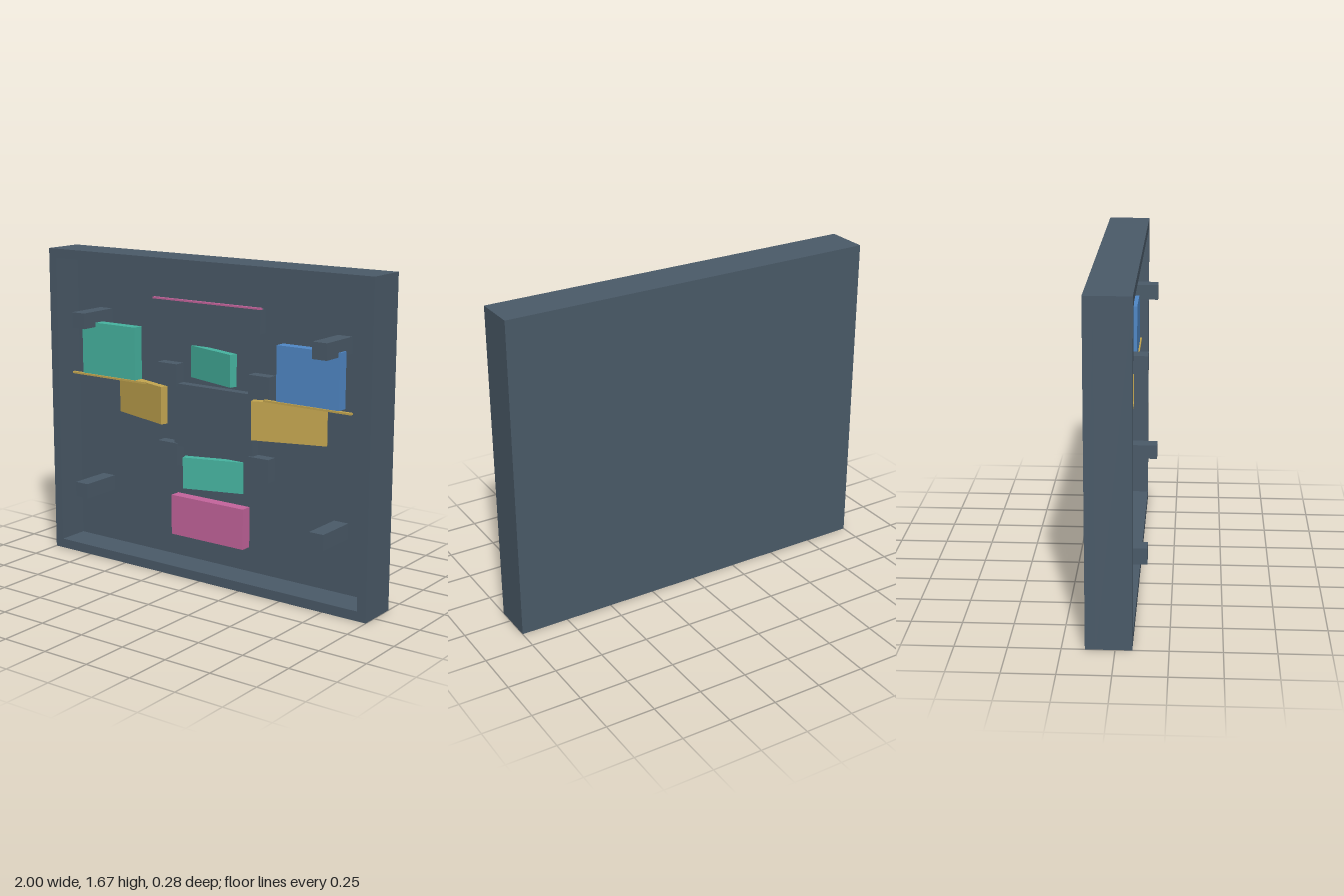
import * as THREE from 'three';

const paint = (name, color) => {
  const m = new THREE.MeshStandardMaterial({ color });
  m.name = name;
  return m;
};

export function createModel() {
  const slate = paint('slate', 0x4a5a68);
  const teal = paint('teal', 0x46b3a0);
  const blue = paint('blue', 0x5088c6);
  const gold = paint('gold', 0xc4a650);
  const pink = paint('pink', 0xc4649c);

  const root = new THREE.Group();
  root.name = 'wallPanel';

  const add = (name, geometry, material) => {
    const mesh = new THREE.Mesh(geometry, material);
    mesh.name = name;
    root.add(mesh);
    return mesh;
  };

  // Box given by its limits on each axis
  const box = (name, material, [x0, x1], [y0, y1], [z0, z1]) => {
    const mesh = add(name, new THREE.BoxGeometry(x1 - x0, y1 - y0, z1 - z0), material);
    mesh.position.set((x0 + x1) / 2, (y0 + y1) / 2, (z0 + z1) / 2);
    return mesh;
  };

  // Thin block turned about the upright axis
  const angled = (name, material, size, position, turn) => {
    const mesh = add(name, new THREE.BoxGeometry(...size), material);
    mesh.position.set(...position);
    mesh.rotation.y = turn;
  };

  // Shallow tray: back plate and raised rim
  const floor = -0.09;
  box('backPlate', slate, [-1, 1], [0, 1.67], [-0.14, floor]);
  const rim = new THREE.Shape([[-1, 0], [1, 0], [1, 1.67], [-1, 1.67]].map(p => new THREE.Vector2(...p)));
  rim.holes.push(new THREE.Path([[-0.95, 0.05], [-0.95, 1.62], [0.95, 1.62], [0.95, 0.05]].map(p => new THREE.Vector2(...p))));
  add('rim', new THREE.ExtrudeGeometry(rim, { depth: 0.17, bevelEnabled: false }), slate).position.z = floor;

  // Centre plate with a block at each corner
  box('centrePlate', slate, [-0.25, 0.25], [0.67, 1.005], [floor, -0.04]);
  for (const s of [-1, 1]) {
    const side = s < 0 ? 'right' : 'left';
    const span = (a, b) => (s < 0 ? [-b, -a] : [a, b]);

    box(side + 'UpperBlock', slate, span(0.227, 0.353), [0.99, 1.108], [floor, -0.03]);
    box(side + 'LowerBlock', slate, span(0.227, 0.353), [0.565, 0.685], [floor, -0.03]);

    // Long corner pegs
    box(side + 'UpperPeg', slate, span(0.708, 0.79), [1.267, 1.35], [floor, 0.14]);
    box(side + 'LowerPeg', slate, span(0.708, 0.79), [0.34, 0.42], [floor, 0.14]);

    // Square blocks standing on gold ledges
    const z = s < 0 ? 0.05 : 0.037;
    box(side + 'SquareBlock', s < 0 ? teal : blue, span(0.44, 0.8), [1.01, 1.29], [z - 0.057, z]);
    box(side + 'Ledge', gold, span(0.37, 0.87), [1, 1.01], [z - 0.01, z + 0.008]);

    // Slanted gold flippers
    angled(side + 'Flipper', gold, [0.393, 0.2, 0.04], [s * 0.467, 0.89, -0.05], s * 0.3);
  }

  // Slanted teal flippers above and below the centre
  angled('upperFlipper', teal, [0.335, 0.167, 0.042], [-0.003, 1.123, -0.05], -0.3);
  angled('lowerFlipper', teal, [0.33, 0.167, 0.042], [-0.001, 0.547, -0.052], 0.3);

  // Bottom block and the top bar with its coloured edge
  box('bottomBlock', pink, [-0.23, 0.23], [0.2, 0.415], [-0.045, 0.014]);
  box('topBar', slate, [-0.335, 0.335], [1.33, 1.45], [-0.02, 0.025]);
  box('topBarEdge', pink, [-0.337, 0.337], [1.45, 1.459], [0.01, 0.027]);

  return root;
}
